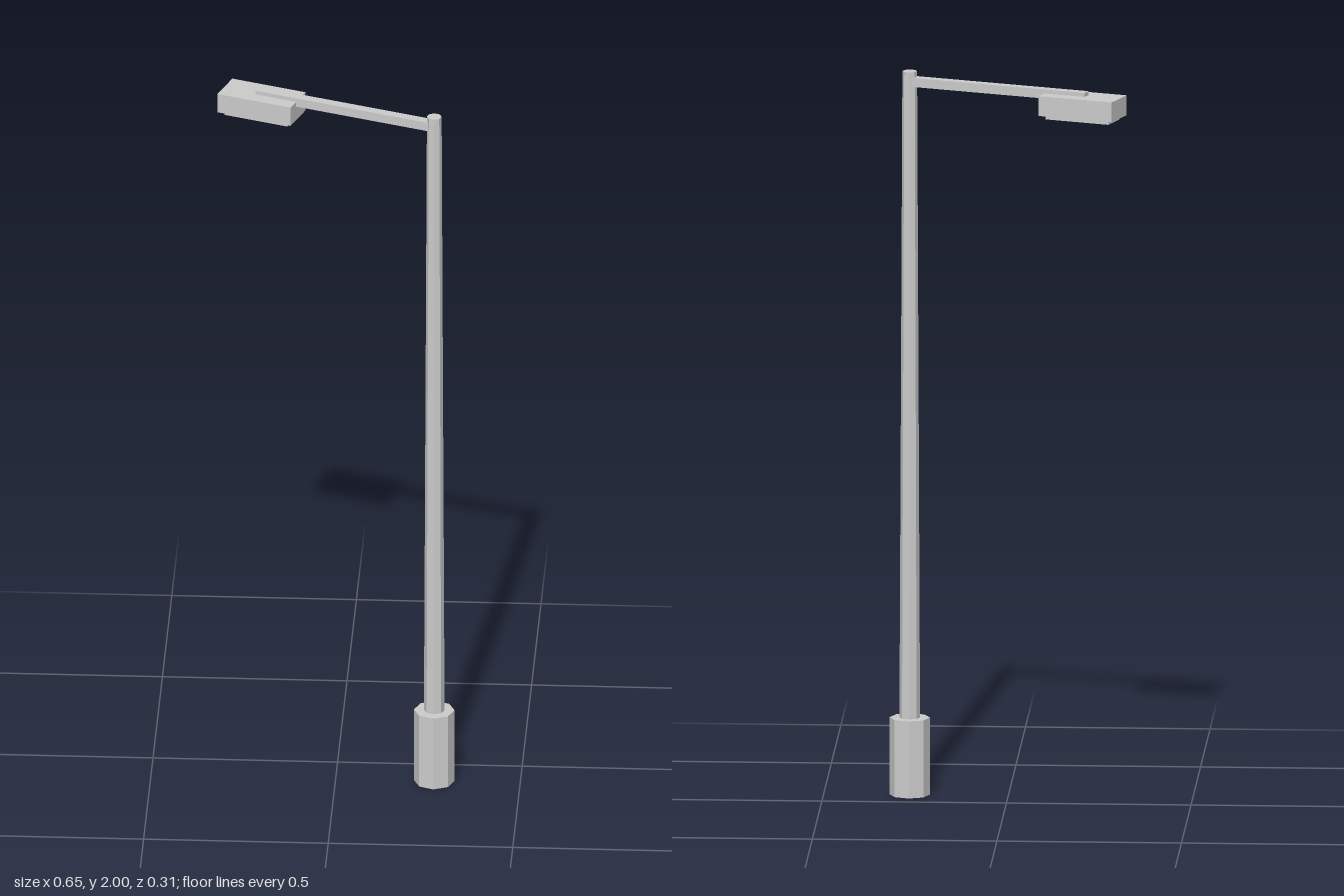
import * as THREE from 'three';

const grey = new THREE.MeshStandardMaterial({ color: 0xcccccc, flatShading: true, side: THREE.DoubleSide });

function part(name, geometry, x, y, z, parent) {
  const mesh = new THREE.Mesh(geometry, grey);
  mesh.name = name;
  mesh.position.set(x, y, z);
  parent.add(mesh);
  return mesh;
}

export function createModel() {
  const model = new THREE.Group();
  model.name = 'streetLamp';
  model.position.set(0.267, 0, 0.1);

  // Octagonal base sleeve, open underneath, with a flat top
  const sleeve = [[0.055, 0], [0.055, 0.213], [0, 0.213]].map(([r, y]) => new THREE.Vector2(r, y));
  part('base', new THREE.LatheGeometry(sleeve, 8), 0, 0, 0, model);

  // Tapered pole
  part('pole', new THREE.CylinderGeometry(0.02, 0.028, 1.787, 8), 0, 1.1065, 0, model);

  // Arm and lamp head, swung back by 20 degrees
  const boom = new THREE.Group();
  boom.name = 'boom';
  boom.rotation.y = -THREE.MathUtils.degToRad(20.1);
  model.add(boom);
  part('arm', new THREE.BoxGeometry(0.52, 0.025, 0.027), -0.26, 1.972, 0, boom);
  part('lampHead', new THREE.BoxGeometry(0.215, 0.055, 0.103), -0.508, 1.946, 0, boom);
  part('lampPanel', new THREE.BoxGeometry(0.185, 0.012, 0.078), -0.508, 1.914, 0, boom);

  const root = new THREE.Group();
  root.add(model);
  return root;
}
